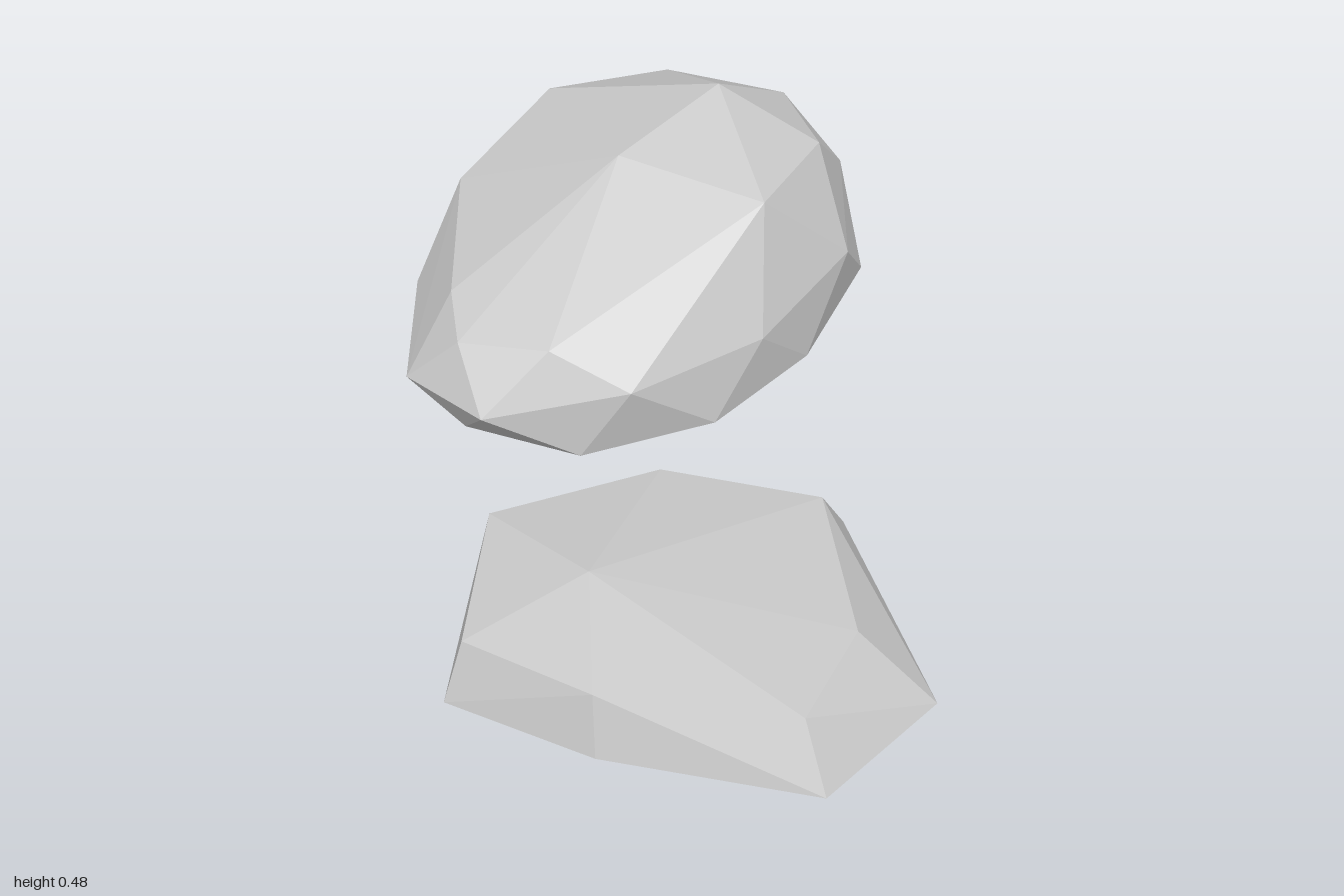
import * as THREE from 'three';
import { ConvexGeometry } from 'three/addons/geometries/ConvexGeometry.js';

const material = new THREE.MeshStandardMaterial({ color: 0xcccccc, flatShading: true });

// A faceted stone: the convex hull of its [x, y, z] corners.
function stone(name, corners) {
  const geometry = new ConvexGeometry(corners.map((c) => new THREE.Vector3(...c)));
  const mesh = new THREE.Mesh(geometry, material);
  mesh.name = name;
  return mesh;
}

// Corners of a level outline given as [x, z] pairs.
const level = (y, outline) => outline.map(([x, z]) => [x, y, z]);

export function createModel() {
  const group = new THREE.Group();
  group.name = 'rocks';

  // Large boulder: flat base, bulging waist, shoulder and sloping crown
  group.add(stone('largeBoulder', [
    ...level(0, [
      [0.52, -0.58], [0.42, -0.82], [0.15, -0.98], [-0.125, -0.835], [-0.367, -0.65],
      [-0.45, -0.32], [-0.41, -0.11], [-0.18, 0.015], [0.11, -0.06], [0.34, -0.265],
    ]),
    // waist
    [-0.38, 0.11, 0.01], [-0.525, 0.1, -0.165], [-0.49, 0.125, -0.47], [-0.315, 0.155, -0.83],
    [0, 0.175, -1], [0.32, 0.2, -0.93], [0.485, 0.21, -0.71], [0.445, 0.18, -0.39],
    [0.22, 0.15, -0.14], [-0.075, 0.16, 0.025],
    // shoulder
    [-0.235, 0.245, -0.025], [-0.415, 0.22, -0.11], [-0.42, 0.25, -0.25], [-0.38, 0.28, -0.63],
    [-0.165, 0.375, -0.83], [0.11, 0.37, -0.89], [0.36, 0.36, -0.775], [0.4, 0.37, -0.54],
    // crown
    [0.24, 0.39, -0.29], [-0.05, 0.44, -0.43], [0.19, 0.48, -0.63],
  ]));

  // Small flat stone: base, bevelled rim and a low peak
  group.add(stone('smallStone', [
    ...level(0, [
      [-0.4, 0.28], [-0.04, 0.23], [0.32, 0.28], [0.4, 0.79], [0.16, 0.99], [-0.23, 0.85], [-0.49, 0.68],
    ]),
    ...level(0.13, [
      [-0.38, 0.32], [-0.04, 0.23], [0.26, 0.35], [0.26, 0.72], [0.13, 0.92], [-0.23, 0.82], [-0.45, 0.66],
    ]),
    [-0.21, 0.172, 0.55],
  ]));

  return group;
}
